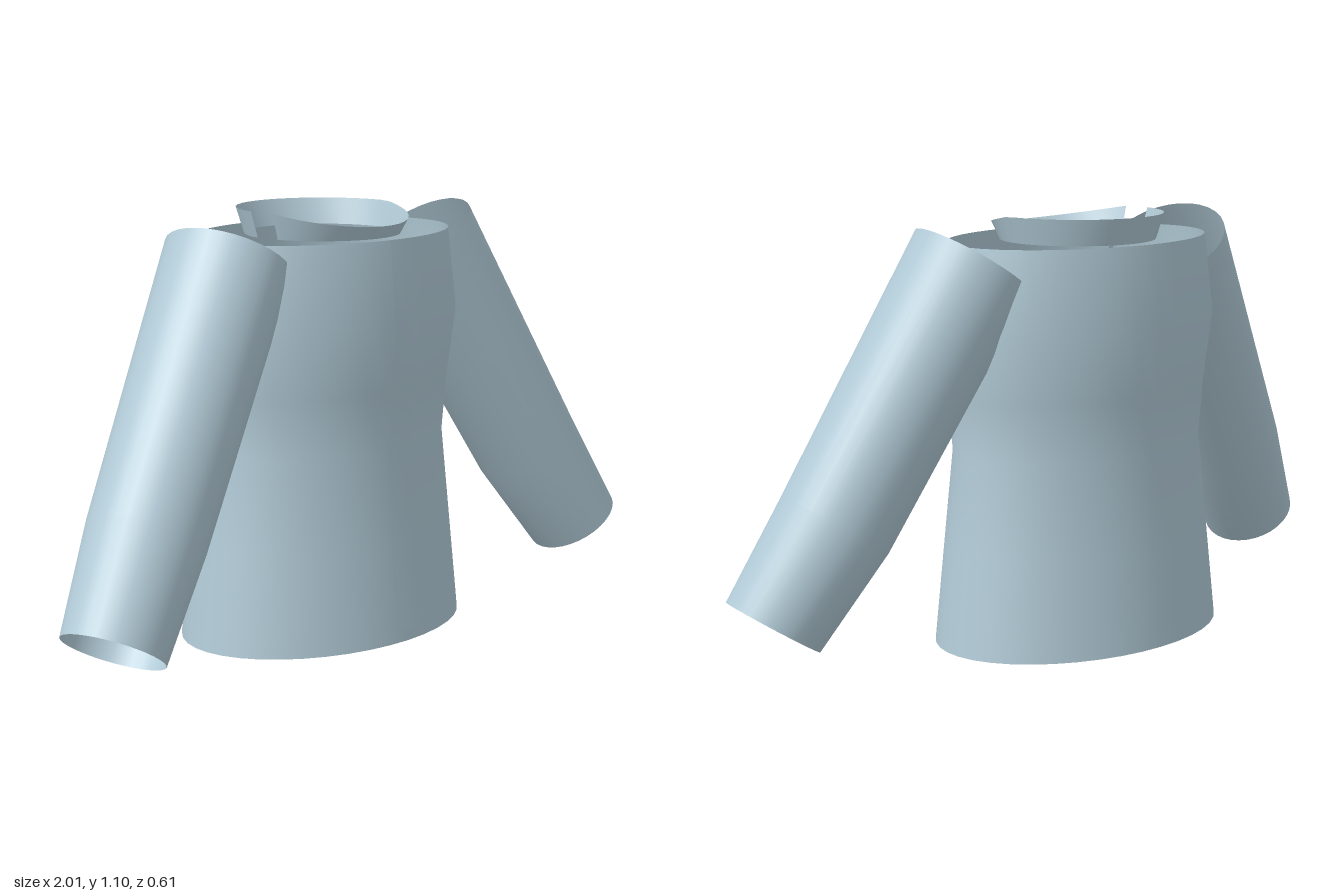
import * as THREE from 'three';

const fabric = new THREE.MeshStandardMaterial({ color: 0xb2cbd7, side: THREE.DoubleSide });
fabric.name = 'pale blue fabric';

// Torso outline as (radius across, height); depth is squashed
const DEPTH = 0.71;
const OUTLINE = [[0.43, 0], [0.402, 0.25], [0.374, 0.5], [0.388, 0.65], [0.415, 0.83], [0.388, 1.04]];

// Smooth surface from rows of points, optionally joined round the loop
function surface(rows, closed) {
  const n = rows[0].length;
  const index = [];
  for (let i = 0; i < rows.length - 1; i++) {
    for (let j = 0; j < (closed ? n : n - 1); j++) {
      const k = (j + 1) % n;
      const a = i * n + j, b = i * n + k, c = (i + 1) * n + j, d = (i + 1) * n + k;
      index.push(a, c, b, b, c, d);
    }
  }
  const geometry = new THREE.BufferGeometry().setFromPoints(rows.flat());
  geometry.setIndex(index);
  geometry.computeVertexNormals();
  return geometry;
}

function part(name, geometry) {
  const mesh = new THREE.Mesh(geometry, fabric);
  mesh.name = name;
  return mesh;
}

// Open elliptical body
function torso() {
  const geometry = new THREE.LatheGeometry(OUTLINE.map(([r, y]) => new THREE.Vector2(r, y)), 40);
  geometry.scale(1, 1, DEPTH);
  return part('torso', geometry);
}

// Thin strip following the front of the body
function placket() {
  const rows = OUTLINE.map(([r, y]) => [-0.048, -0.003, 0.042].map((x) =>
    new THREE.Vector3(x, Math.max(y, 0.03), DEPTH * Math.sqrt(r * r - x * x) + 0.003)));
  return part('frontPlacket', surface(rows, false));
}

// Flared band, lower at the front and split at one side
function collar() {
  const bottom = [], top = [];
  const start = -Math.PI + 0.19, end = Math.PI - 0.16, steps = 36;
  for (let i = 0; i <= steps; i++) {
    const a = start + (end - start) * i / steps;
    const x = Math.cos(a), z = Math.sin(a);
    const drop = 0.035 * Math.max(0, z * 0.225 - 0.03) / 0.195;
    bottom.push(new THREE.Vector3(x * 0.203, 1.035, z * 0.203));
    top.push(new THREE.Vector3(x * 0.224, 1.103 - drop, z * 0.224));
  }
  return part('collar', surface([bottom, top], false));
}

// Open tube with a slight bend at the elbow
function sleeve(name, side) {
  const stations = [[0.357, 1.002, 0.015, 0.163], [0.735, 0.378, 0.111, 0.149], [0.893, 0.14, 0.162, 0.13]];
  const axis = new THREE.Vector3(0.536, -0.862, 0.147).normalize();
  const u = new THREE.Vector3(0, 0, 1).cross(axis).normalize();
  const v = axis.clone().cross(u);
  const rows = stations.map(([x, y, z, r]) => {
    const ring = [];
    for (let j = 0; j < 32; j++) {
      const a = j / 32 * Math.PI * 2;
      const p = new THREE.Vector3(x, y, z).addScaledVector(u, r * Math.cos(a)).addScaledVector(v, r * Math.sin(a));
      p.x *= side;
      ring.push(p);
    }
    return side > 0 ? ring.reverse() : ring;
  });
  return part(name, surface(rows, true));
}

export function createModel() {
  const group = new THREE.Group();
  group.name = 'jacket';
  group.add(torso(), placket(), collar(), sleeve('leftSleeve', 1), sleeve('rightSleeve', -1));
  return group;
}
